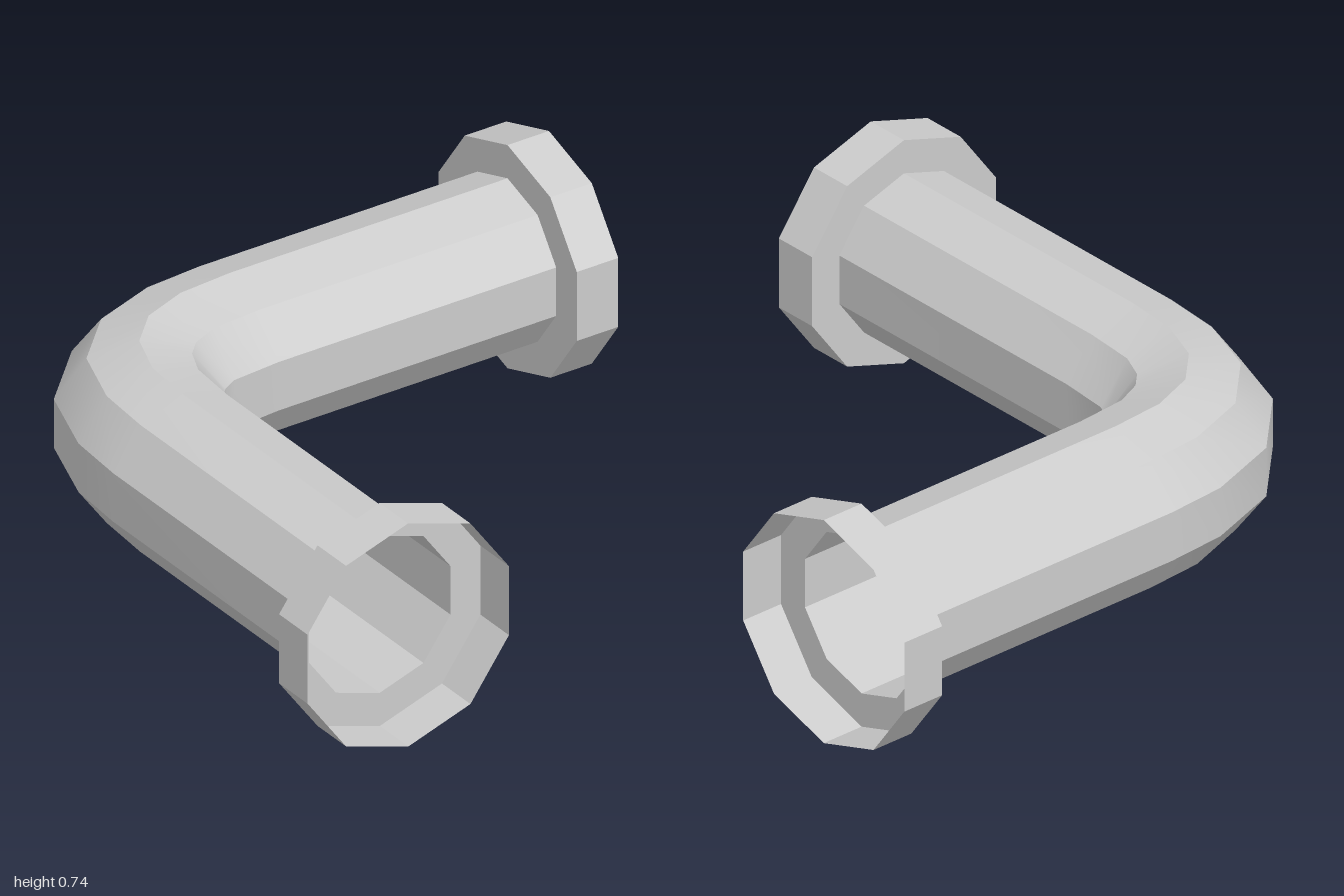
import * as THREE from 'three';

const SIDES = 10, PIPE_R = 0.26, COLLAR_R = 0.37, DEPTH = 0.145, Y = 0.37;

// Stations along the pipe: centre x, centre z, heading in degrees (0 = towards -z, 90 = towards +x)
const PATH = [
  [-0.64, 0.855, 0],
  [-0.64, -0.14, 0],
  [-0.625, -0.322, 4],
  [-0.568, -0.472, 29],
  [-0.462, -0.578, 61],
  [-0.312, -0.635, 86],
  [-0.13, -0.65, 90],
  [0.842, -0.65, 90],
];

// One side of the pipe: smooth along its length, sharp against its neighbours
function pipeSide(k) {
  const pos = [], index = [];
  PATH.forEach(([x, z, deg], i) => {
    const a = THREE.MathUtils.degToRad(deg);
    for (const j of [k, k + 1]) {
      const phi = (j / SIDES) * Math.PI * 2;
      const out = PIPE_R * Math.sin(phi);
      pos.push(x - Math.cos(a) * out, Y + PIPE_R * Math.cos(phi), z - Math.sin(a) * out);
    }
    if (i < PATH.length - 1) {
      const n = i * 2;
      index.push(n, n + 2, n + 1, n + 1, n + 2, n + 3);
    }
  });
  const g = new THREE.BufferGeometry();
  g.setAttribute('position', new THREE.Float32BufferAttribute(pos, 3));
  g.setIndex(index);
  g.computeVertexNormals();
  return g;
}

// Open collar cup facing +z, its floor at the local origin
function collar(name, flat) {
  const group = new THREE.Group();
  group.name = name;
  const wallGeo = new THREE.CylinderGeometry(COLLAR_R, COLLAR_R, DEPTH, SIDES, 1, true);
  wallGeo.rotateX(Math.PI / 2).translate(0, 0, DEPTH / 2);
  const wall = new THREE.Mesh(wallGeo, flat);
  wall.name = 'collarWall';
  const floor = new THREE.Mesh(new THREE.RingGeometry(PIPE_R, COLLAR_R, SIDES, 1, Math.PI / 2), flat);
  floor.name = 'collarFloor';
  group.add(wall, floor);
  return group;
}

export function createModel() {
  const model = new THREE.Group();
  model.name = 'pipeElbow';
  const smooth = new THREE.MeshStandardMaterial({ color: 0xcccccc, side: THREE.DoubleSide });
  const flat = new THREE.MeshStandardMaterial({ color: 0xcccccc, side: THREE.DoubleSide, flatShading: true });

  // Bent pipe, open at both ends
  const pipe = new THREE.Group();
  pipe.name = 'pipe';
  for (let k = 0; k < SIDES; k++) {
    const side = new THREE.Mesh(pipeSide(k), smooth);
    side.name = 'pipeSide';
    pipe.add(side);
  }
  model.add(pipe);

  // Collars on the two mouths
  const front = collar('frontCollar', flat);
  front.position.set(-0.64, Y, 0.855);
  const left = collar('leftCollar', flat);
  left.position.set(0.842, Y, -0.65);
  left.rotation.y = Math.PI / 2;
  model.add(front, left);
  return model;
}
